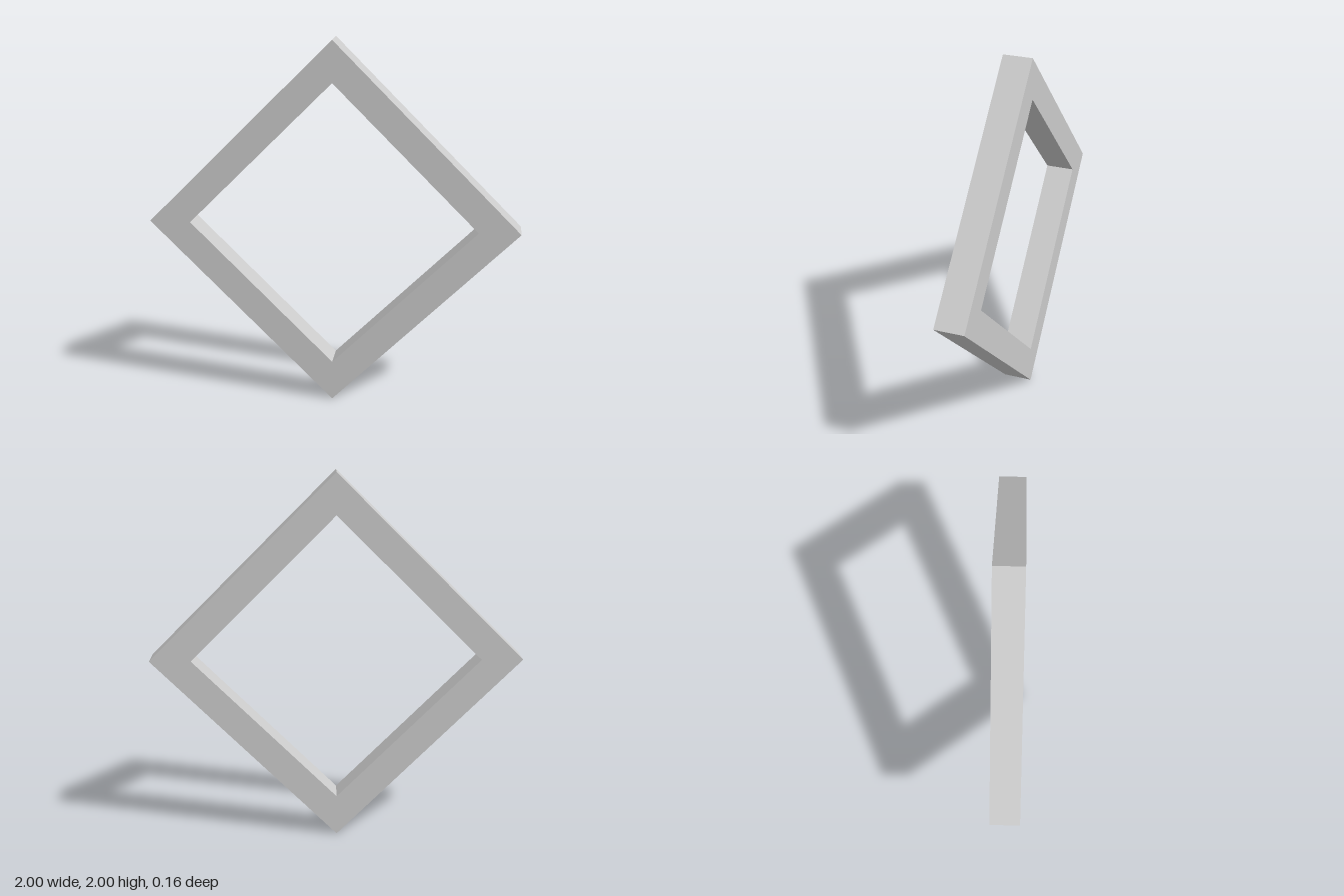
import * as THREE from 'three';

const OUTER = 1, INNER = 0.778, DEPTH = 0.157;

// Traces a square standing on its corner, r from centre to corner
function diamond(path, r) {
  path.moveTo(r, 0);
  path.lineTo(0, r);
  path.lineTo(-r, 0);
  path.lineTo(0, -r);
  path.closePath();
  return path;
}

export function createModel() {
  const group = new THREE.Group();
  group.name = 'diamondFrame';

  // Square frame with an open centre
  const shape = diamond(new THREE.Shape(), OUTER);
  shape.holes.push(diamond(new THREE.Path(), INNER));
  const geometry = new THREE.ExtrudeGeometry(shape, { depth: DEPTH, bevelEnabled: false });
  geometry.translate(0, OUTER, -DEPTH / 2);

  const material = new THREE.MeshStandardMaterial({ color: 0xcccccc, flatShading: true });
  const frame = new THREE.Mesh(geometry, material);
  frame.name = 'frame';
  group.add(frame);
  return group;
}
